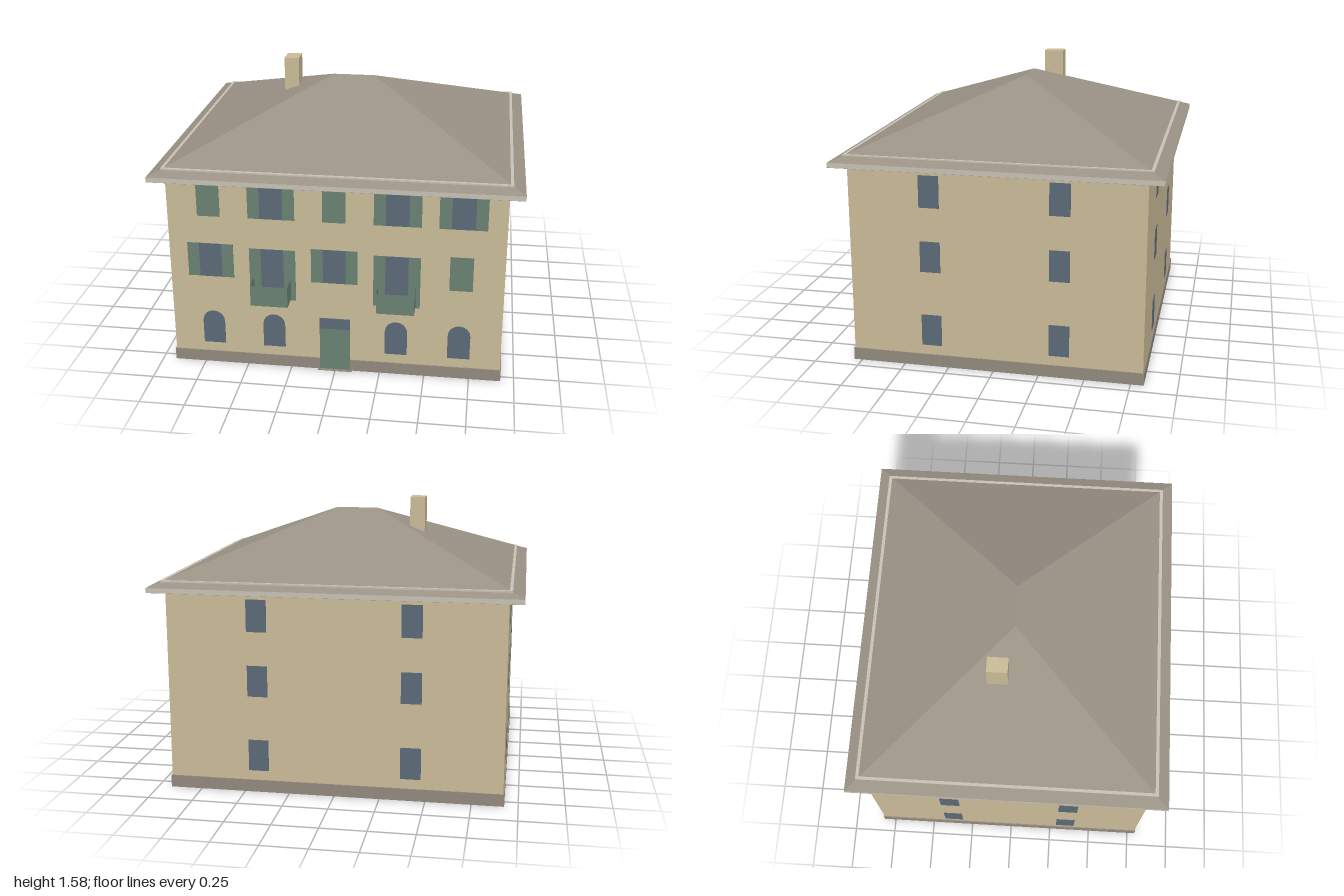
import * as THREE from 'three';

const mat = (name, color, side = THREE.FrontSide) =>
  Object.assign(new THREE.MeshStandardMaterial({ color, side }), { name });

// Flat-shaded skin through rectangles [x0, x1, z0, z1, y], listed from bottom to top
function loft(rings, { bottom = false } = {}) {
  const pos = [];
  const corners = ([x0, x1, z0, z1, y]) => [[x0, y, z1], [x1, y, z1], [x1, y, z0], [x0, y, z0]];
  const quad = (a, b, c, d) => pos.push(...a, ...b, ...c, ...a, ...c, ...d);
  for (let r = 0; r < rings.length - 1; r++) {
    const lo = corners(rings[r]), hi = corners(rings[r + 1]);
    for (let i = 0; i < 4; i++) {
      const j = (i + 1) % 4;
      quad(lo[i], lo[j], hi[j], hi[i]);
    }
  }
  if (bottom) quad(...corners(rings[0]).reverse());
  const g = new THREE.BufferGeometry();
  g.setAttribute('position', new THREE.Float32BufferAttribute(pos, 3));
  g.computeVertexNormals();
  return g;
}

export function createModel() {
  const house = new THREE.Group();
  house.name = 'house';
  const wall = mat('wall plaster', 0xc9ba97, THREE.DoubleSide);
  const roofing = mat('roof slate', 0x9a9185, THREE.DoubleSide);
  const trim = mat('eave trim', 0xc6c0b3);
  const stone = mat('plinth stone', 0x91887c);
  const glass = mat('window glass', 0x5a6977);
  const green = mat('shutter green', 0x688172, THREE.DoubleSide);

  const add = (name, geo, material, parent = house) => {
    const m = new THREE.Mesh(geo, material);
    m.name = name;
    parent.add(m);
    return m;
  };
  // Box given by its limits
  const box = (name, material, x0, x1, y0, y1, z0, z1, parent) =>
    add(name, new THREE.BoxGeometry(x1 - x0, y1 - y0, z1 - z0), material, parent)
      .position.set((x0 + x1) / 2, (y0 + y1) / 2, (z0 + z1) / 2);

  const X = 0.92, ZF = 0.79, ZB = -0.815, EAVE = 1.12;

  // Walls, open underneath, and plinth
  add('walls', loft([[-X, X, ZB, ZF, 0], [-X, X, ZB, ZF, EAVE]]), wall);
  const o = 0.006;
  add('plinth', loft([
    [-X - o, X + o, ZB - o, ZF + o, 0], [-X - o, X + o, ZB - o, ZF + o, 0.068], [-X, X, ZB, ZF, 0.068],
  ]), stone);

  // Hipped roof with a short ridge, soffit and fascia
  add('roof', loft([[-1, 1, -0.9, 0.87, 1.147], [-0.118, 0.118, -0.015, -0.015, 1.498]]), roofing);
  add('soffit', loft([[-1, 1, -0.9, 0.87, EAVE], [-1, 1, -0.9, 0.87, EAVE + 0.001]], { bottom: true }), roofing);
  add('fascia', loft([[-1, 1, -0.9, 0.87, EAVE + 0.001], [-1, 1, -0.9, 0.87, 1.147]]), trim);

  // Light rail lying around the roof edge
  const rail = new THREE.Group();
  rail.name = 'roofRail';
  house.add(rail);
  for (const s of [-1, 1]) box('railSide', trim, s * 0.927 - 0.009, s * 0.927 + 0.009, 1.166, 1.179, -0.842, 0.81, rail);
  for (const z of [-0.833, 0.801]) box('railEnd', trim, -0.918, 0.918, 1.166, 1.179, z - 0.009, z + 0.009, rail);

  box('chimney', wall, -0.415, -0.33, 1.36, 1.577, -0.152, -0.038);

  // Arched ground-floor windows, set through the wall
  const arch = new THREE.Shape();
  arch.moveTo(-0.062, 0.125);
  arch.lineTo(0.062, 0.125);
  arch.lineTo(0.062, 0.265);
  arch.absarc(0, 0.265, 0.062, 0, Math.PI, false);
  const archGeo = new THREE.ExtrudeGeometry(arch, { depth: 0.008, bevelEnabled: false, curveSegments: 4 });
  for (const x of [-0.69, -0.345, 0.34, 0.688]) add('archedWindow', archGeo, glass).position.set(x, 0, ZF - 0.004);

  // Front door with transom and step
  box('door', green, -0.086, 0.084, 0.003, 0.262, ZF + 0.001, ZF + 0.009);
  box('transom', glass, -0.086, 0.084, 0.262, 0.325, ZF + 0.001, ZF + 0.009);
  box('doorstep', stone, -0.097, 0.095, 0, 0.005, ZF, ZF + 0.022);

  // Upper front windows: [x, y0, y1, shutters open]
  const front = [
    [-0.69, 0.545, 0.745, true], [-0.345, 0.425, 0.728, true], [-0.002, 0.545, 0.745, true],
    [0.34, 0.425, 0.728, true], [0.688, 0.545, 0.745, false],
    [-0.69, 0.908, 1.11, false], [-0.345, 0.908, 1.11, true], [-0.002, 0.908, 1.11, false],
    [0.34, 0.908, 1.11, true], [0.688, 0.908, 1.11, true],
  ];
  const w = 0.063;
  for (const [x, y0, y1, open] of front) {
    const z0 = ZF + 0.001, z1 = ZF + 0.004;
    if (!open) {
      box('closedShutters', green, x - w, x + w, y0, y1, z0, z1);
      continue;
    }
    box('frontWindow', glass, x - w, x + w, y0, y1, z0, z1);
    box('shutterRight', green, x - 2 * w - 0.002, x - w, y0, y1, z0, z1);
    box('shutterLeft', green, x + w, x + 2 * w + 0.002, y0, y1, z0, z1);
  }

  // Balcony railings: a front panel and two side panels
  for (const x of [-0.347, 0.342]) {
    const b = new THREE.Group();
    b.name = 'balcony';
    house.add(b);
    const panel = (name, width, px, pz, turn) => {
      const m = add(name, new THREE.PlaneGeometry(width, 0.12), green, b);
      m.position.set(px, 0.495, pz);
      m.rotation.y = turn;
    };
    panel('railingFront', 0.205, x, 0.9, 0);
    for (const s of [-1, 1]) panel('railingSide', 0.11, x + s * 0.1025, 0.845, s * Math.PI / 2);
  }

  // Plain windows on both sides and the back, three floors each
  for (const [y0, y1] of [[0.123, 0.3], [0.547, 0.72], [0.908, 1.086]]) {
    for (const s of [-1, 1]) {
      for (const z of [0.342, -0.362]) {
        const x = s * (X + 0.0025);
        box('sideWindow', glass, x - 0.0015, x + 0.0015, y0, y1, z - 0.056, z + 0.056);
      }
      box('backWindow', glass, s * 0.42 - 0.056, s * 0.42 + 0.056, y0, y1, ZB - 0.004, ZB - 0.001);
    }
  }
  return house;
}
